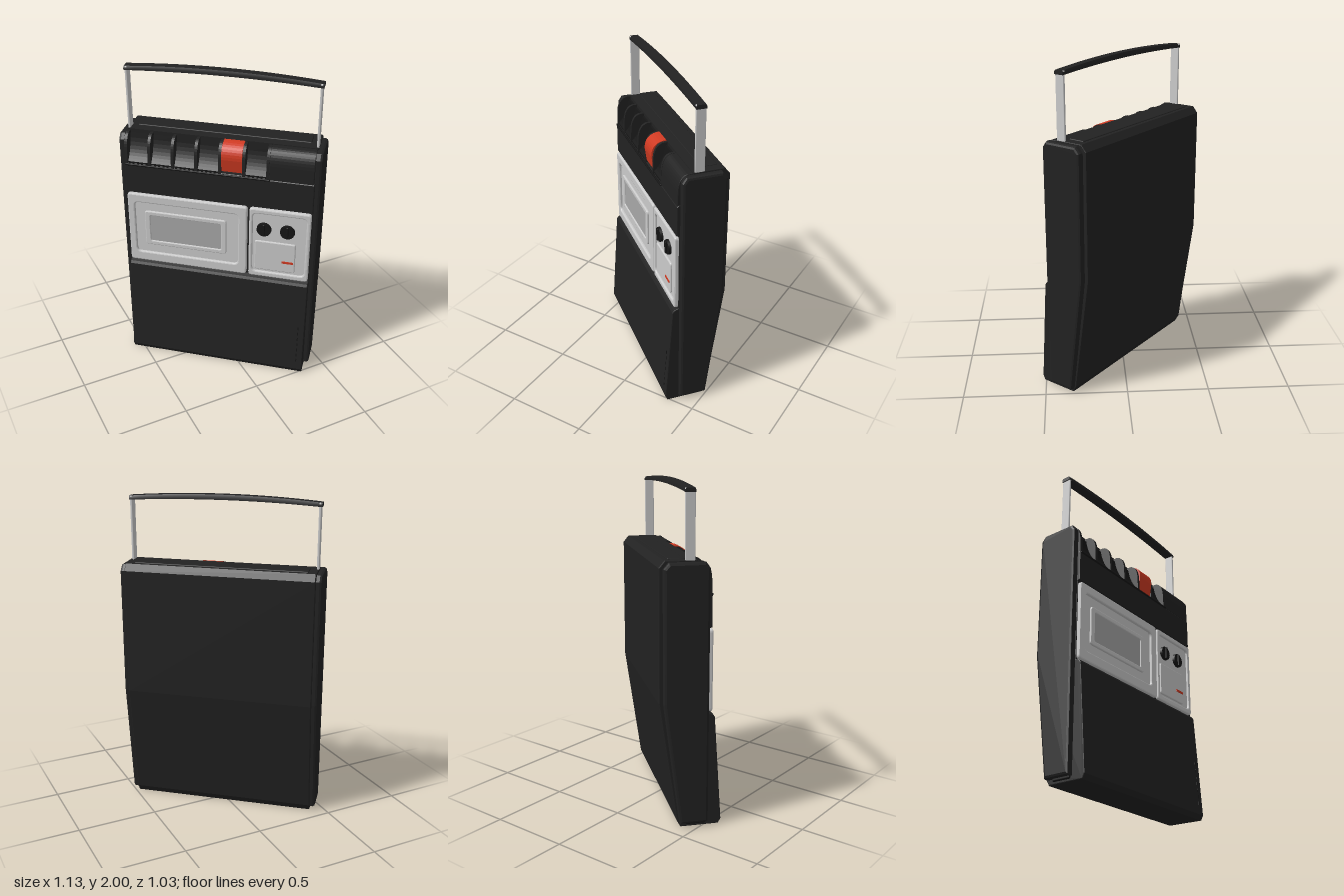
import * as THREE from 'three';
import { RoundedBoxGeometry } from 'three/addons/geometries/RoundedBoxGeometry.js';

const mat = (color) => new THREE.MeshStandardMaterial({ color });
const black = mat(0x222222), deep = mat(0x151515), grey = mat(0xcccccc), shade = mat(0xa8a8a8), red = mat(0xd03a22);

export function createModel() {
  const model = new THREE.Group();
  const recorder = new THREE.Group();
  recorder.name = 'recorder';
  recorder.rotation.y = -0.694; // stands turned to its right
  model.add(recorder);

  const add = (name, geometry, material, x = 0, y = 0, z = 0) => {
    const mesh = new THREE.Mesh(geometry, material);
    mesh.name = name;
    mesh.position.set(x, y, z);
    recorder.add(mesh);
    return mesh;
  };
  const box = (name, w, h, d, material, x, y, z, r = 0) =>
    add(name, r ? new RoundedBoxGeometry(w, h, d, 2, r) : new THREE.BoxGeometry(w, h, d), material, x, y, z);
  const polygon = (points) => new THREE.Shape(points.map(([a, b]) => new THREE.Vector2(a, b)));

  // Extrude a (z, y) side profile across the width from x0 to x1
  const across = (shape, x0, x1, bevel = 0) => {
    const geometry = new THREE.ExtrudeGeometry(shape, {
      depth: x1 - x0 - 2 * bevel, curveSegments: 8, bevelEnabled: bevel > 0,
      bevelSize: bevel, bevelThickness: bevel, bevelOffset: -bevel, bevelSegments: 2,
    });
    return geometry.rotateY(-Math.PI / 2).translate(x1 - bevel, 0, 0);
  };

  // Rectangle outline, with rounded corners, for the front plates
  const rect = (path, x0, y0, x1, y1, r) => {
    path.moveTo(x0 + r, y0).lineTo(x1 - r, y0).quadraticCurveTo(x1, y0, x1, y0 + r)
      .lineTo(x1, y1 - r).quadraticCurveTo(x1, y1, x1 - r, y1)
      .lineTo(x0 + r, y1).quadraticCurveTo(x0, y1, x0, y1 - r)
      .lineTo(x0, y0 + r).quadraticCurveTo(x0, y0, x0 + r, y0);
    return path;
  };
  const plate = (name, outer, inner, z, depth, bevel, material) => {
    const shape = rect(new THREE.Shape(), ...outer);
    if (inner) shape.holes.push(rect(new THREE.Path(), ...inner));
    add(name, new THREE.ExtrudeGeometry(shape, {
      depth: depth - bevel, bevelEnabled: true, bevelSize: bevel, bevelThickness: bevel,
      bevelOffset: -bevel, bevelSegments: 2, curveSegments: 5,
    }), material, 0, 0, z);
  };

  // Main case: sloping speaker front, recessed deck, tapered back
  const body = polygon([
    [0.18, 0], [0.195, 0.03], [0.152, 0.67], [0.142, 0.685], [0.128, 0.69], [0.115, 0.695],
    [0.115, 1.195], [0.13, 1.2], [0.13, 1.385], [0.12, 1.395], [0.04, 1.4], [0.04, 1.585],
    [-0.145, 1.585], [-0.178, 1.545], [-0.178, 0.77], [-0.072, 0.04], [-0.05, 0],
  ]);
  add('body', across(body, -0.58, 0.58, 0.005), black);
  box('topRidge', 1.06, 0.012, 0.1, black, 0, 1.584, -0.07, 0.005);

  // Side covers
  const cover = polygon([
    [0.11, 0.03], [0.11, 1.54], [0.085, 1.575], [-0.125, 1.575], [-0.155, 1.54], [-0.155, 0.77], [-0.06, 0.03],
  ]);
  for (const s of [-1, 1]) {
    add('sideCover', across(cover, s < 0 ? -0.615 : 0.565, s < 0 ? -0.565 : 0.615, 0.015), black);
    box('foot', 0.04, 0.04, 0.12, deep, s * 0.57, 0.035, 0.04, 0.008);
  }

  // Key row: hollow keys between curved fins, one raised red key
  const hollow = new THREE.Shape();
  hollow.moveTo(0.03, 1.39).lineTo(0.03, 1.565).lineTo(0.05, 1.56)
    .quadraticCurveTo(0.07, 1.45, 0.122, 1.405).lineTo(0.122, 1.39);
  const domed = new THREE.Shape();
  domed.moveTo(0.03, 1.41).lineTo(0.03, 1.585).lineTo(0.06, 1.583)
    .quadraticCurveTo(0.135, 1.57, 0.132, 1.49).lineTo(0.12, 1.41);
  const fin = new THREE.Shape();
  fin.moveTo(0.03, 1.39).lineTo(0.03, 1.58).lineTo(0.07, 1.578)
    .quadraticCurveTo(0.12, 1.565, 0.125, 1.48).lineTo(0.128, 1.39);
  const pitch = 0.145, first = -0.57;
  for (let i = 0; i < 6; i++) {
    const x = first + i * pitch;
    const isRed = i === 4;
    add(isRed ? 'recordKey' : 'key', across(isRed ? domed : hollow, x + 0.012, x + pitch - 0.008), isRed ? red : deep);
  }
  for (let i = 0; i < 7; i++) {
    const x = first + i * pitch;
    add('keyFin', across(fin, x - 0.008, x + 0.01), black);
  }
  add('deckCorner', across(fin, 0.31, 0.575, 0.004), black);
  box('keyLip', 0.89, 0.012, 0.012, deep, -0.13, 1.388, 0.13, 0.004);

  // Cassette door: outer frame, sunken surround, raised window
  plate('cassetteDoor', [-0.575, 0.7, 0.185, 1.188, 0.02], [-0.53, 0.765, 0.13, 1.13, 0.03], 0.105, 0.034, 0.008, grey);
  plate('doorPanel', [-0.545, 0.75, 0.145, 1.145, 0.02], null, 0.1, 0.022, 0.004, grey);
  plate('windowFrame', [-0.47, 0.825, 0.055, 1.07, 0.02], [-0.435, 0.855, 0.02, 1.04, 0.01], 0.112, 0.022, 0.006, grey);
  plate('window', [-0.445, 0.845, 0.03, 1.05, 0.01], null, 0.112, 0.014, 0.002, shade);

  // Control panel with two dials and a small red marker
  plate('controlPanel', [0.198, 0.7, 0.575, 1.188, 0.02], [0.22, 0.735, 0.55, 1.155, 0.03], 0.105, 0.034, 0.008, grey);
  plate('controlFloor', [0.21, 0.72, 0.565, 1.17, 0.02], null, 0.1, 0.024, 0.004, grey);
  plate('controlPlate', [0.235, 0.75, 0.49, 0.96, 0.015], null, 0.115, 0.02, 0.006, grey);
  for (const x of [0.29, 0.435]) {
    const dial = add('dial', new THREE.CylinderGeometry(0.044, 0.048, 0.03, 20), deep, x, 1.045, 0.125);
    dial.rotation.x = Math.PI / 2;
    box('dialGrip', 0.014, 0.08, 0.014, deep, x, 1.045, 0.142, 0.004);
  }
  box('redMarker', 0.072, 0.014, 0.006, red, 0.443, 0.825, 0.136);

  // Short slots down the speaker front
  for (let i = 0; i < 7; i++) {
    const y = 0.1 + i * 0.042;
    box('slot', 0.006, 0.022, 0.004, deep, 0.54, y, 0.195 - 0.067 * (y - 0.03));
  }

  // Handle: two flat metal legs and a bowed grip
  for (const s of [-1, 1]) box('handleLeg', 0.014, 0.46, 0.058, grey, s * 0.572, 1.745, 0, 0.004);
  const grip = new RoundedBoxGeometry(1.17, 0.032, 0.066, 4, 0.012);
  const bar = new THREE.BoxGeometry(1.17, 0.03, 0.06, 16, 2, 2);
  grip.dispose();
  const p = bar.attributes.position;
  for (let i = 0; i < p.count; i++) {
    const t = p.getX(i) / 0.585;
    p.setY(i, p.getY(i) * (1 - 0.2 * t * t) - 0.022 * t * t);
    p.setZ(i, p.getZ(i) * (p.getY(i) > -0.022 * t * t + 0.005 ? 0.8 : 1));
  }
  bar.computeVertexNormals();
  add('handleGrip', bar, black, 0, 1.985, 0);

  return model;
}
